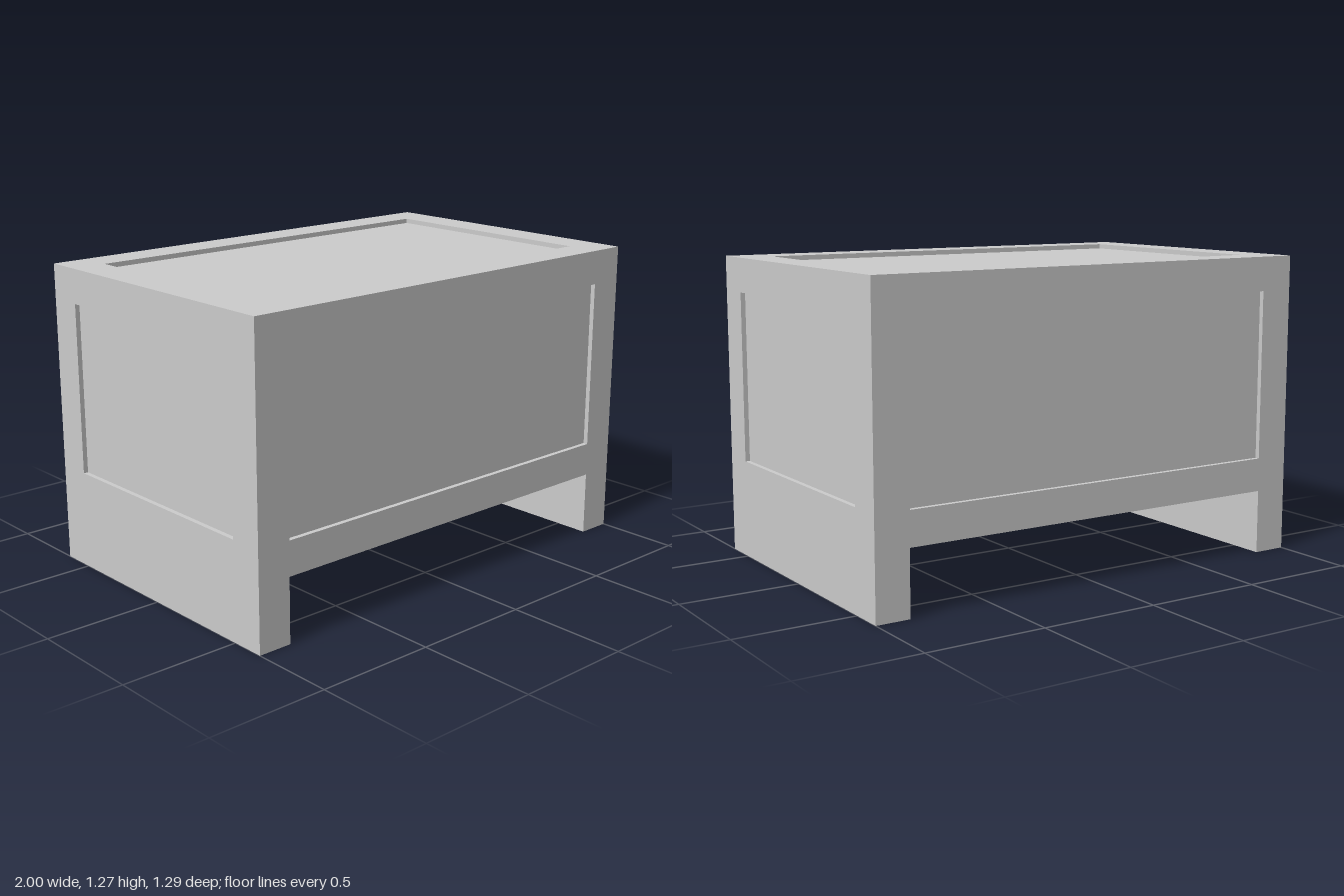
import * as THREE from 'three';
import { mergeGeometries } from 'three/addons/utils/BufferGeometryUtils.js';

const W = 1, D = 0.645, H = 1.27;      // half width, half depth, height
const LEG_X = 0.855, LEG_H = 0.27;     // inner face and height of the legs
const PANEL_X = 0.853, PANEL_Z = 0.5;  // half sizes of the inset panels
const PANEL_LOW = 0.412, PANEL_HIGH = 1.126;
const INSET = 0.02;

const rectangle = (x, y0, y1) => [[-x, y0], [x, y0], [x, y1], [-x, y1]];
const points = list => list.map(([x, y]) => new THREE.Vector2(x, y));

// A face in the xy plane, facing +z, with a rectangular sunken panel
function insetFace(outline, x, y0, y1) {
  const shape = new THREE.Shape(points(outline));
  shape.holes.push(new THREE.Path(points(rectangle(x, y0, y1)).reverse()));
  const h = y1 - y0, mid = (y0 + y1) / 2, turn = Math.PI / 2;
  const parts = [
    new THREE.ShapeGeometry(shape).toNonIndexed(),
    new THREE.PlaneGeometry(2 * x, h).translate(0, mid, -INSET).toNonIndexed(),
  ];
  for (const s of [-1, 1]) {
    parts.push(
      new THREE.PlaneGeometry(INSET, h).rotateY(-s * turn).translate(s * x, mid, -INSET / 2).toNonIndexed(),
      new THREE.PlaneGeometry(2 * x, INSET).rotateX(s * turn).translate(0, mid + s * h / 2, -INSET / 2).toNonIndexed(),
    );
  }
  return mergeGeometries(parts);
}

export function createModel() {
  const group = new THREE.Group();
  const material = new THREE.MeshStandardMaterial({ color: 0xcccccc });
  const add = (name, geometry) => {
    const mesh = new THREE.Mesh(geometry, material);
    mesh.name = name;
    group.add(mesh);
  };

  // Front and back, with the opening between the legs
  const arch = [[-W, 0], [-LEG_X, 0], [-LEG_X, LEG_H], [LEG_X, LEG_H],
    [LEG_X, 0], [W, 0], [W, H], [-W, H]];
  const long = () => insetFace(arch, PANEL_X, PANEL_LOW, PANEL_HIGH).translate(0, 0, D);
  add('frontPanel', long());
  add('backPanel', long().rotateY(Math.PI));

  // Ends run down to the ground as full-depth legs
  for (const [name, s] of [['left', 1], ['right', -1]]) {
    add(name + 'Panel', insetFace(rectangle(D, 0, H), PANEL_Z, PANEL_LOW, PANEL_HIGH)
      .translate(0, 0, W).rotateY(s * Math.PI / 2));
    add(name + 'LegInside', new THREE.PlaneGeometry(2 * D, LEG_H)
      .rotateY(-s * Math.PI / 2).translate(s * LEG_X, LEG_H / 2, 0));
    add(name + 'LegFoot', new THREE.PlaneGeometry(W - LEG_X, 2 * D)
      .rotateX(Math.PI / 2).translate(s * (W + LEG_X) / 2, 0, 0));
  }

  // Lid and underside
  add('lid', insetFace(rectangle(W, -D, D), PANEL_X, -PANEL_Z, PANEL_Z)
    .rotateX(-Math.PI / 2).translate(0, H, 0));
  add('underside', new THREE.PlaneGeometry(2 * LEG_X, 2 * D)
    .rotateX(Math.PI / 2).translate(0, LEG_H, 0));

  return group;
}
